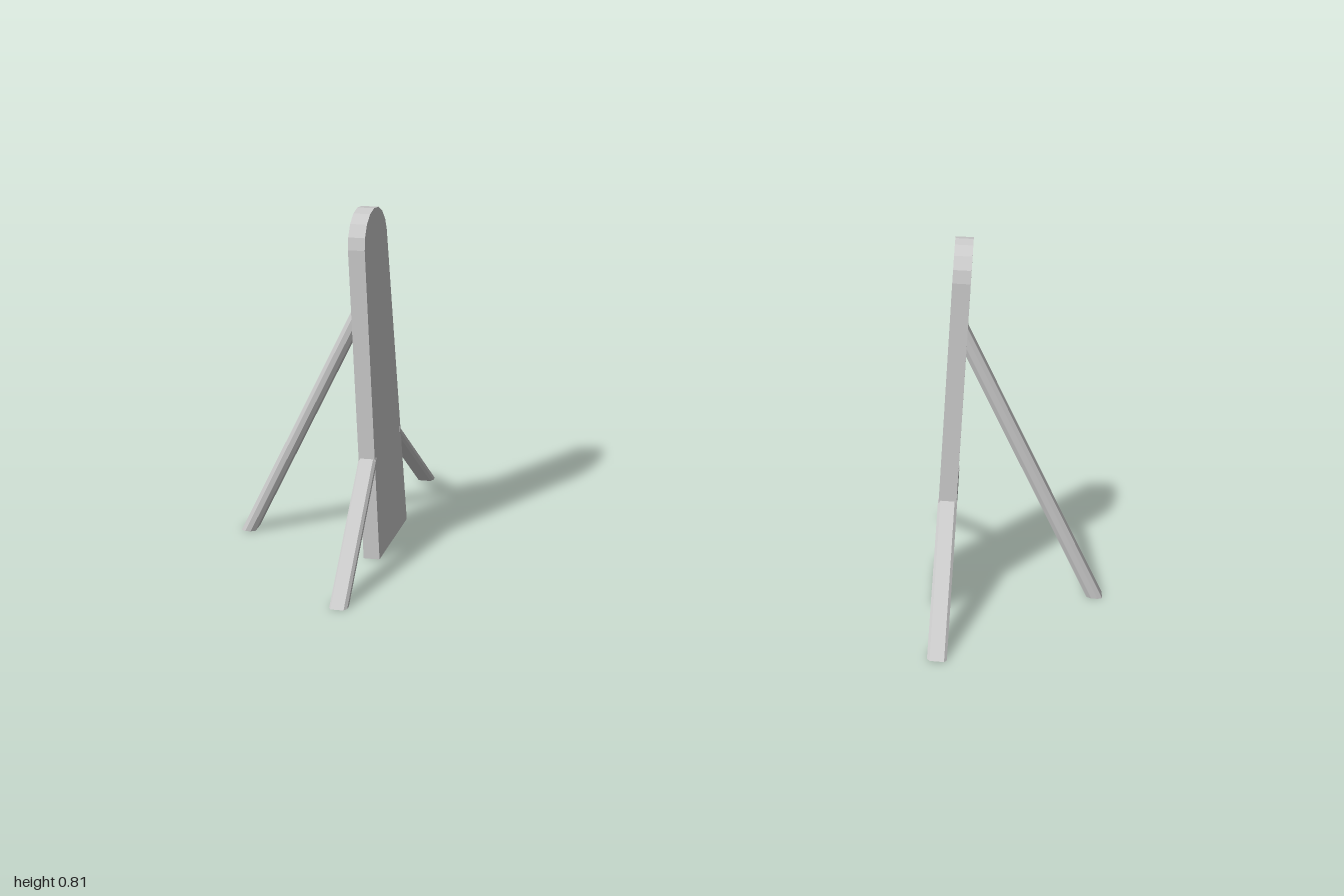
import * as THREE from 'three';

const material = new THREE.MeshStandardMaterial({ color: 0xcccccc, flatShading: true });
const THICK = 0.038;

// Tapered board with a faceted round top, standing in the yz plane
function panelGeometry() {
  const half = [[0.108, 0], [0.08, 0.735], [0.073, 0.762], [0.055, 0.787], [0.029, 0.803]];
  const mirrored = half.map(([z, y]) => [-z, y]).reverse();
  const points = [...half, [0, 0.808], ...mirrored].map(([z, y]) => new THREE.Vector2(z, y));
  const geometry = new THREE.ExtrudeGeometry(new THREE.Shape(points), { depth: THICK, bevelEnabled: false });
  return geometry.translate(0, 0, -THICK / 2).rotateY(Math.PI / 2);
}

// Eight-sided bar leaning along x: cut level at the ground (x = foot), upright at x = top
function braceGeometry(foot, top, slope, a) {
  const section = [[0.015, -a], [0.0205, -0.4 * a], [0.0205, 0.4 * a], [0.015, a],
    [-0.015, a], [-0.0205, 0.4 * a], [-0.0205, -0.4 * a], [-0.015, -a]];
  const shape = new THREE.Shape(section.map(([w, u]) => new THREE.Vector2(w, u)));
  const geometry = new THREE.ExtrudeGeometry(shape, { depth: 1, bevelEnabled: false });
  const p = geometry.attributes.position;
  for (let i = 0; i < p.count; i++) {
    const w = p.getX(i), x = foot + p.getY(i), t = p.getZ(i);
    p.setXYZ(i, THREE.MathUtils.lerp(x, top, t), t * (x - top) * slope, w);
  }
  geometry.computeVertexNormals();
  return geometry;
}

export function createModel() {
  const model = new THREE.Group();
  const panel = panelGeometry();
  const outer = braceGeometry(0.333, 0.015, 1.855, 0.017);
  const edge = braceGeometry(0.341, 0.09, 0.965, 0.0145);

  for (const side of [1, -1]) {
    const stand = new THREE.Group();
    stand.name = side > 0 ? 'leftStand' : 'rightStand';
    const add = (name, geometry, turn = 0) => {
      const mesh = new THREE.Mesh(geometry, material);
      mesh.name = name;
      mesh.rotation.y = turn;
      stand.add(mesh);
    };
    add('panel', panel);
    add('outerBrace', outer);
    add('edgeBraceA', edge, -Math.PI / 2);
    add('edgeBraceB', edge, Math.PI / 2);
    stand.position.x = side * 0.65;
    stand.rotation.y = side > 0 ? 0 : Math.PI;
    model.add(stand);
  }
  return model;
}
